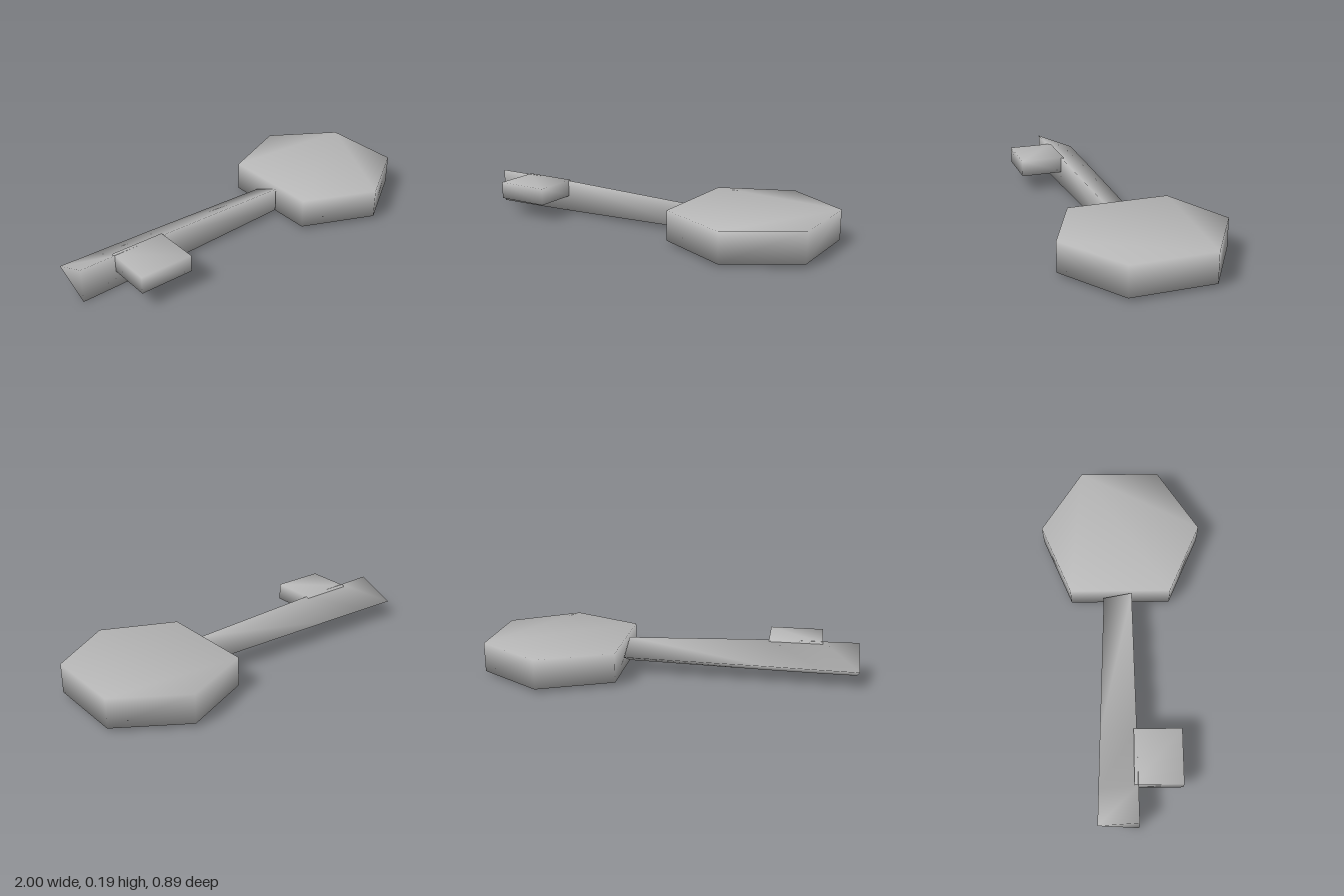
import * as THREE from 'three';

// Closed solid from matching cross-sections, with shared vertices for smooth shading.
// Corners run counter-clockwise as seen from the last section.
function loft(sections) {
  const n = sections[0].length;
  const last = (sections.length - 1) * n;
  const index = [];
  for (let s = 0; s < last; s += n) {
    for (let k = 0; k < n; k++) {
      const j = (k + 1) % n;
      index.push(s + k, s + j, s + n + j, s + k, s + n + j, s + n + k);
    }
  }
  for (let k = 1; k < n - 1; k++) {
    index.push(0, k + 1, k);
    index.push(last, last + k, last + k + 1);
  }
  const geometry = new THREE.BufferGeometry();
  geometry.setAttribute('position', new THREE.Float32BufferAttribute(sections.flat(2), 3));
  geometry.setIndex(index);
  geometry.computeVertexNormals();
  return geometry;
}

export function createModel() {
  const group = new THREE.Group();
  group.name = 'key';
  const metal = new THREE.MeshStandardMaterial({ color: 0xb8b8b8 });
  metal.name = 'grey metal';

  const add = (name, sections) => {
    const mesh = new THREE.Mesh(loft(sections), metal);
    mesh.name = name;
    group.add(mesh);
  };

  // Six-sided grip plate
  const outline = [[1, -0.22], [0.65, -0.443], [0.263, -0.277], [0.263, 0.272], [0.65, 0.443], [1, 0.218]];
  add('grip', [0.02, 0.18].map((y) => outline.map(([x, z]) => [x, y, z])));

  // Tapered three-sided shaft: x, back z, front z, bottom y, top y
  const rings = [
    [-1, -0.13, 0.084, 0.003, 0.19],
    [-0.81, -0.125, 0.081, 0.005, 0.189],
    [-0.52, -0.117, 0.076, 0.01, 0.187],
    [0.255, -0.095, 0.06, 0.03, 0.165],
  ];
  add('shaft', rings.map(([x, back, front, low, high]) => [
    [x, high, front], [x, low, front], [x, (low + high) / 2, back],
  ]));

  // Single tooth on the front of the shaft
  add('tooth', [-0.807, -0.517].map((x) => [
    [x, 0.188, 0.313], [x, 0.096, 0.313], [x, 0.096, 0.06], [x, 0.188, 0.06],
  ]));

  return group;
}
